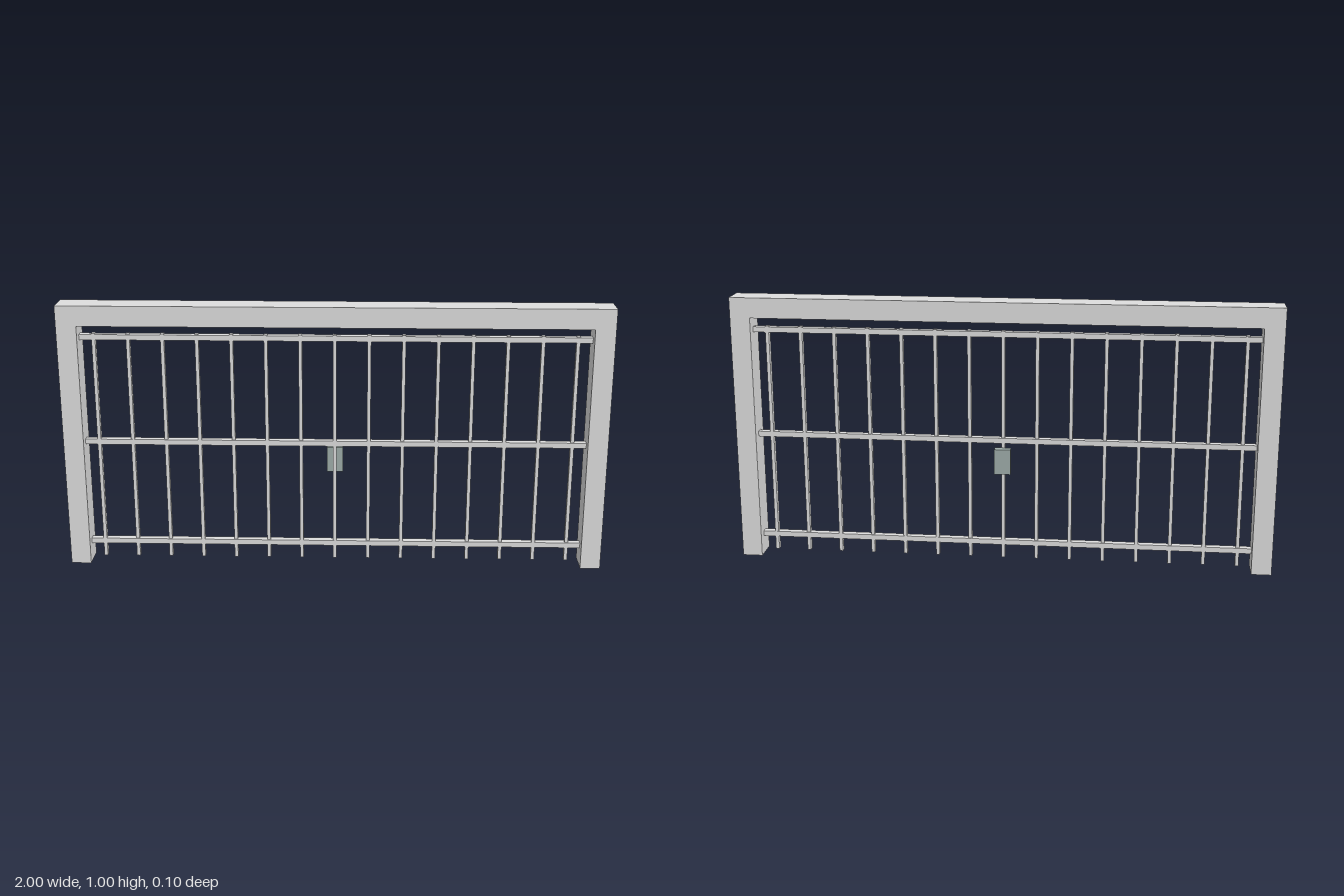
import * as THREE from 'three';

export function createModel() {
  const model = new THREE.Group();
  model.name = 'barredGate';

  const steel = new THREE.MeshStandardMaterial({ color: 0xdedede });
  steel.name = 'light grey steel';
  const lockMetal = new THREE.MeshStandardMaterial({ color: 0x9fadaa });
  lockMetal.name = 'green grey lock metal';

  function box(name, w, h, d, x, y, z, material = steel) {
    const mesh = new THREE.Mesh(new THREE.BoxGeometry(w, h, d), material);
    mesh.name = name;
    mesh.position.set(x, y, z);
    model.add(mesh);
  }

  // Frame: two posts and a lintel as one continuous portal
  const inner = 0.926;
  const portal = new THREE.Shape([
    [-1, 0], [-inner, 0], [-inner, 0.925], [inner, 0.925],
    [inner, 0], [1, 0], [1, 1], [-1, 1],
  ].map(([x, y]) => new THREE.Vector2(x, y)));
  const frameGeometry = new THREE.ExtrudeGeometry(portal, { depth: 0.1, bevelEnabled: false });
  frameGeometry.translate(0, 0, -0.05);
  const frame = new THREE.Mesh(frameGeometry, steel);
  frame.name = 'frame';
  model.add(frame);

  // Horizontal rails between the posts
  for (const y of [0.077, 0.476, 0.876]) {
    box('rail', inner * 2, 0.02, 0.026, 0, y, 0);
  }

  // Evenly spaced upright bars, just proud of the top rail
  for (let i = -7; i <= 7; i++) {
    box('bar', 0.013, 0.873, 0.021, i * 0.125, 0.4525, 0);
  }

  // Lock case on the back of the middle bar
  box('lock', 0.06, 0.095, 0.028, 0, 0.403, -0.03, lockMetal);

  return model;
}
